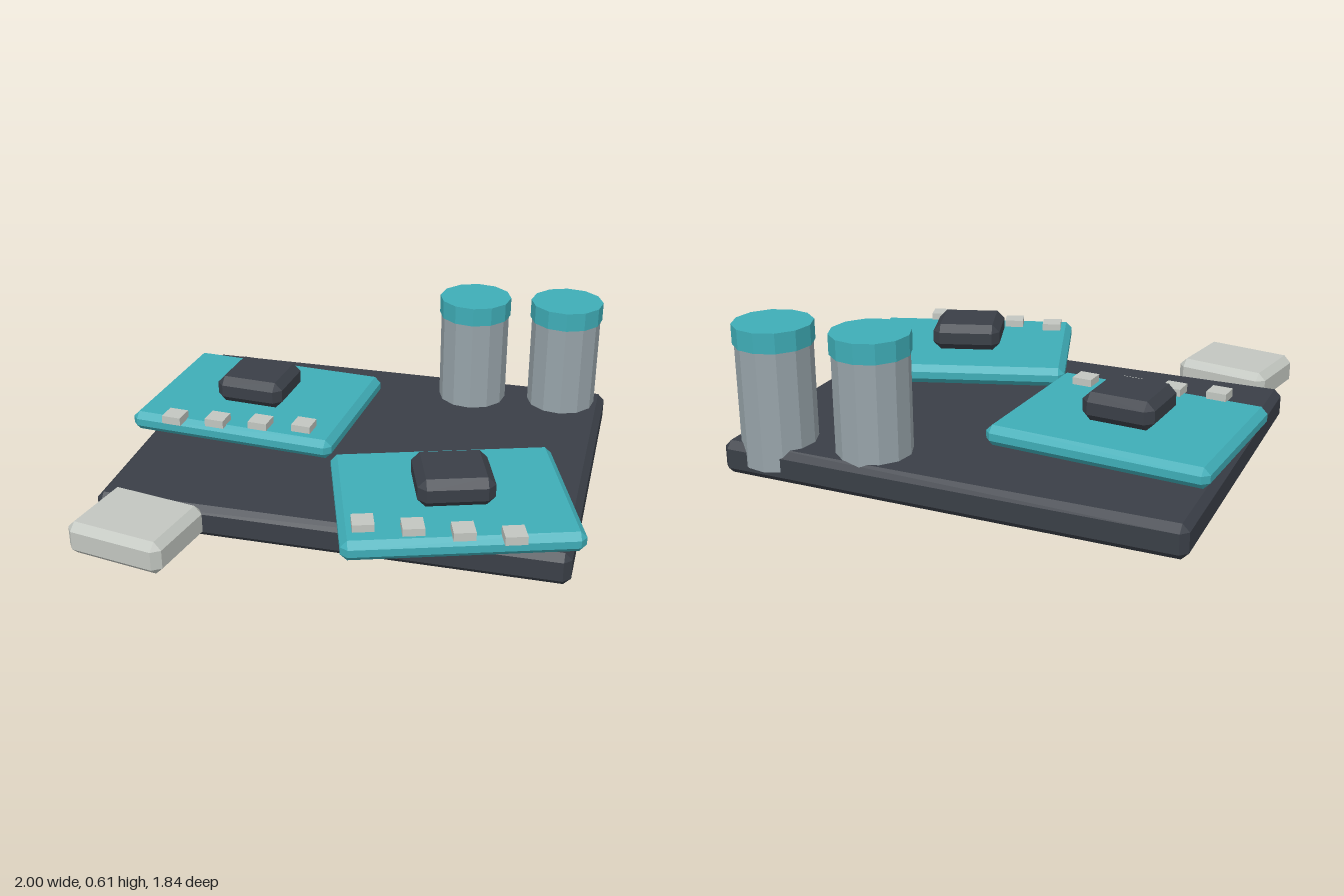
import * as THREE from 'three';
import { ConvexGeometry } from 'three/addons/geometries/ConvexGeometry.js';

const mat = (name, color) => {
  const m = new THREE.MeshStandardMaterial({ color, flatShading: true });
  m.name = name;
  return m;
};

// Box with every edge cut by a flat chamfer c
function chamferBox(w, h, d, c) {
  const pts = [];
  for (const sx of [-1, 1]) for (const sy of [-1, 1]) for (const sz of [-1, 1]) {
    const x = w / 2, y = h / 2, z = d / 2;
    pts.push(
      new THREE.Vector3(sx * x, sy * (y - c), sz * (z - c)),
      new THREE.Vector3(sx * (x - c), sy * y, sz * (z - c)),
      new THREE.Vector3(sx * (x - c), sy * (y - c), sz * z)
    );
  }
  return new ConvexGeometry(pts);
}

export function createModel() {
  const group = new THREE.Group();
  const dark = mat('charcoal', 0x3a3f47);
  const teal = mat('teal', 0x3fadb7);
  const pale = mat('pale grey', 0xc2c6c0);
  const steel = mat('steel grey', 0x97a3a9);

  const add = (parent, name, geometry, material, x, y, z, turn = 0) => {
    const mesh = new THREE.Mesh(geometry, material);
    mesh.name = name;
    mesh.position.set(x, y, z);
    mesh.rotation.y = turn;
    parent.add(mesh);
    return mesh;
  };

  // Base slab
  add(group, 'baseSlab', chamferBox(1.87, 0.135, 1.435, 0.028), dark, 0, 0.0675, -0.115, -0.1);

  // Circuit boards, each with a chip and a row of contacts
  const boards = [
    { name: 'leftBoard', x: -0.503, z: -0.266, bottom: 0.162, turn: -0.177, padX: -0.8, padZ: 0.035 },
    { name: 'rightBoard', x: 0.4, z: 0.434, bottom: 0.146, turn: 0.222, padX: 0.1, padZ: 0.738 },
  ];
  for (const b of boards) {
    const board = new THREE.Group();
    board.name = b.name;
    group.add(board);
    const top = b.bottom + 0.082;
    add(board, 'boardPlate', chamferBox(0.895, 0.082, 0.7, 0.026), teal, b.x, top - 0.041, b.z, b.turn);
    add(board, 'chip', chamferBox(0.295, 0.115, 0.28, 0.032), dark, b.x, top + 0.0575, b.z, b.turn);
    for (let i = 0; i < 4; i++) {
      add(board, 'contact', new THREE.BoxGeometry(0.082, 0.034, 0.082), pale,
        b.padX + i * 0.183, top + 0.013, b.padZ, b.turn);
    }
  }

  // Connector block at the front corner
  add(group, 'connectorBlock', chamferBox(0.407, 0.136, 0.341, 0.03), pale, -0.768, 0.118, 0.705, -0.28);

  // Capacitors with coloured caps
  for (const x of [0.4, 0.8]) {
    const cap = new THREE.Group();
    cap.name = 'capacitor';
    group.add(cap);
    add(cap, 'capacitorBody', new THREE.CylinderGeometry(0.149, 0.149, 0.485, 12), steel, x, 0.2925, -0.63);
    add(cap, 'capacitorCap', new THREE.CylinderGeometry(0.156, 0.156, 0.08, 12), teal, x, 0.57, -0.63);
  }
  return group;
}
